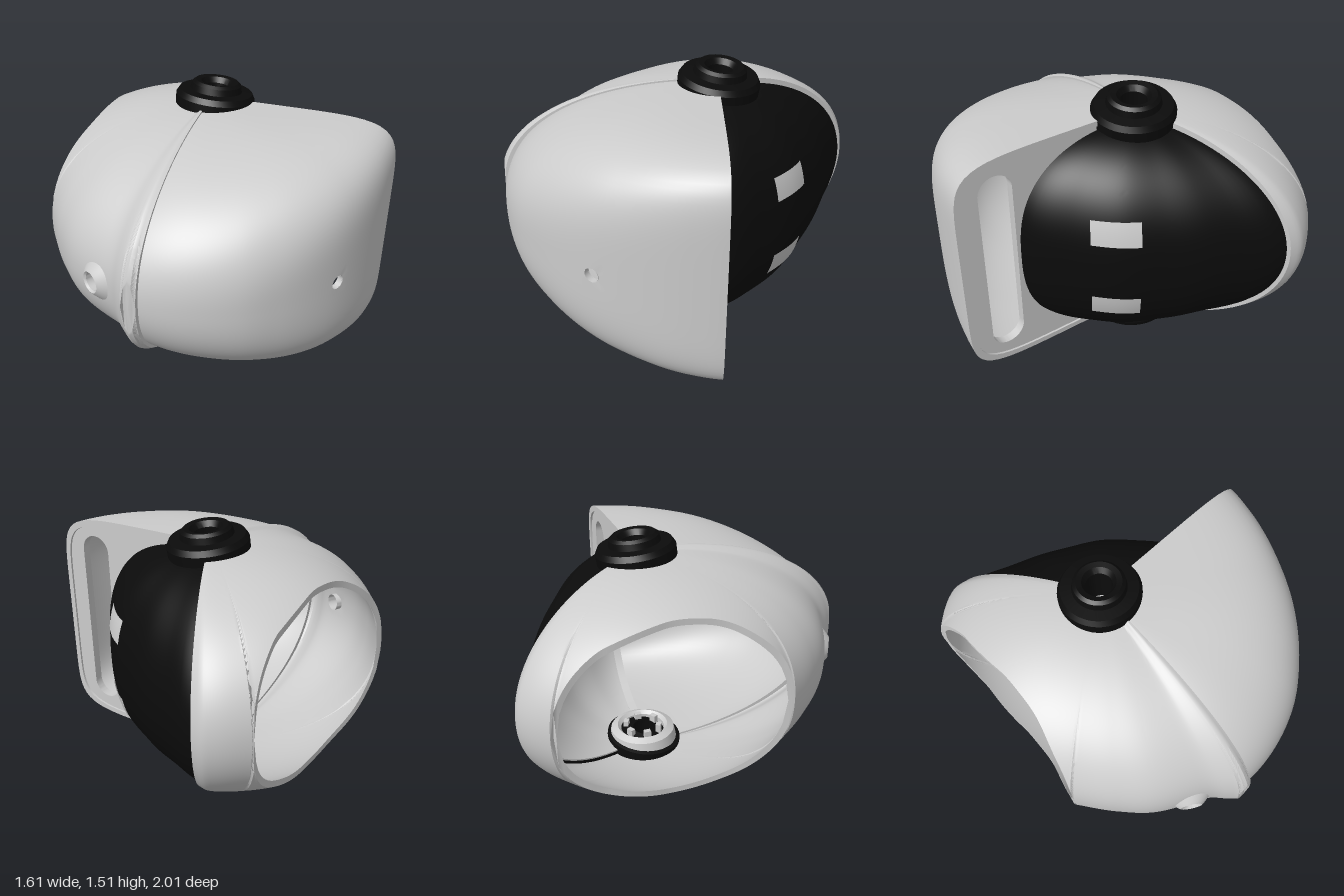
import * as THREE from 'three';
import { mergeVertices, toCreasedNormals } from 'three/addons/utils/BufferGeometryUtils.js';

// The helmet lies on its side: y runs ear to ear, all shells sweep around the ear axis.
const MID = 0.755, PX = 0.26, PZ = -0.08, EAR = 0.13;
const rad = THREE.MathUtils.degToRad;
const grey = new THREE.MeshStandardMaterial({ color: 0xcccccc, side: THREE.DoubleSide });
const black = new THREE.MeshStandardMaterial({ color: 0x0b0b0b, side: THREE.DoubleSide });

// Smooth interpolation through [angle, value] pairs
function table(pts) {
  const slope = (i) => {
    const a = pts[Math.max(i - 1, 0)], b = pts[Math.min(i + 1, pts.length - 1)];
    return (b[1] - a[1]) / (b[0] - a[0]);
  };
  return (x) => {
    let i = 0;
    while (i < pts.length - 2 && x > pts[i + 1][0]) i++;
    const [x0, y0] = pts[i], [x1, y1] = pts[i + 1], w = x1 - x0;
    const t = THREE.MathUtils.clamp((x - x0) / w, 0, 1), t2 = t * t, t3 = t2 * t;
    return (2 * t3 - 3 * t2 + 1) * y0 + (t3 - 2 * t2 + t) * w * slope(i)
      + (3 * t2 - 2 * t3) * y1 + (t3 - t2) * w * slope(i + 1);
  };
}

// Reach R, half width H and squareness p of each shell by angle in degrees
const dome = {
  from: 58.5, to: 150.5, steps: 90,
  R: table([[58, 1.037], [68, 1.036], [82, 1.05], [98, 1.09], [114, 1.137], [124, 1.165], [137, 1.175], [151, 1.17]]),
  H: table([[58, 0.645], [151, 0.645]]),
  p: table([[58, 8], [75, 6], [90, 4.5], [120, 2.8], [151, 2.15]]),
};
const lower = {
  from: 149, to: 301, steps: 150,
  R: table([[149, 1.2], [151, 1.225], [154, 1.18], [158, 1.115], [163, 1.085], [176, 1.05], [187, 1.007],
    [201, 0.975], [240, 0.99], [283, 0.955], [297, 0.944], [301, 0.9]]),
  H: table([[149, 0.655], [152, 0.655], [158, 0.64], [301, 0.635]]),
  p: table([[149, 2.15], [240, 2.3], [301, 2]]),
  cut: table([[195, 1.2], [201, 0.975], [207, 0.852], [218, 0.712], [231, 0.65], [246, 0.645],
    [269, 0.74], [277.6, 0.832], [283.4, 0.946], [288, 1.1]]),
};
const visor = {
  from: -59.5, to: 59.5, steps: 50,
  R: table([[-59, 0.885], [-46, 0.72], [-31, 0.62], [-12.5, 0.553], [8.4, 0.546], [34.5, 0.58], [57.5, 0.69], [60, 0.7]]),
  H: table([[-60, 0.605], [60, 0.605]]),
  p: table([[-59, 2], [0, 2.3], [60, 2.6]]),
};

// Point on a unit superellipse in direction a, and the direction at which it reaches u
const superPoint = (a, p) => {
  const c = Math.cos(a), s = Math.sin(a), k = (c ** p + Math.abs(s) ** p) ** (-1 / p);
  return [c * k, s * k];
};
const directionAt = (u, p) => (u >= 1 ? 0 : Math.atan2((1 - u ** p) ** (1 / p), u));

// Thick shell: a cross-section loop (outside, then inside) per angle, mirrored across the middle
function shell(name, s, inset, thick, material, hole) {
  const n = 44, loop = 2 * n, pts = [], tris = [];
  for (let i = 0; i <= s.steps; i++) {
    const deg = s.from + (s.to - s.from) * i / s.steps, th = rad(deg), p = s.p(deg);
    for (let j = 0; j < loop; j++) {
      const inner = j >= n, d = inset + (inner ? thick : 0);
      const R = s.R(deg) - d, H = s.H(deg) - d;
      const a0 = s.cut ? directionAt(s.cut(deg) / R, p) : 0, a1 = directionAt(EAR / R, p);
      const t = (inner ? loop - 1 - j : j) / (n - 1);
      const [u, v] = superPoint(a1 + (a0 - a1) * t, p);
      pts.push(new THREE.Vector3(PX + Math.cos(th) * R * u, H * v, PZ + Math.sin(th) * R * u));
    }
  }
  // Drop cells touching the round hole and pull their outer corners onto its edge
  const gap = (q) => Math.hypot(q[hole.axis] - hole.at, q.y);
  const inside = pts.map((q) => !!hole && gap(q) < hole.r), pull = new Set();
  const quad = (a, b, c, d) => {
    const cell = [a, b, c, d];
    if (cell.some((k) => inside[k])) cell.forEach((k) => inside[k] || pull.add(k));
    else tris.push(a, b, c, a, c, d);
  };
  for (let i = 0; i < s.steps; i++)
    for (let j = 0; j < loop; j++) {
      const k = (j + 1) % loop, o = i * loop, q = o + loop;
      quad(o + j, q + j, q + k, o + k);
    }
  const e = s.steps * loop;
  for (let j = 0; j < n - 1; j++) {
    const k = loop - 1 - j;
    quad(j, j + 1, k - 1, k);
    quad(e + k, e + k - 1, e + j + 1, e + j);
  }
  pull.forEach((k) => {
    const q = pts[k], f = hole.r / gap(q);
    q[hole.axis] = hole.at + (q[hole.axis] - hole.at) * f;
    q.y *= f;
  });
  const pos = [], index = [...tris];
  for (const m of [1, -1]) pts.forEach((q) => pos.push(q.x, MID + m * q.y, q.z));
  for (let k = 0; k < tris.length; k += 3)
    index.push(tris[k] + pts.length, tris[k + 2] + pts.length, tris[k + 1] + pts.length);
  const geo = new THREE.BufferGeometry();
  geo.setAttribute('position', new THREE.Float32BufferAttribute(pos, 3));
  geo.setIndex(index);
  return mesh(name, toCreasedNormals(mergeVertices(geo, 1e-5), 0.6), material);
}

function mesh(name, geo, material) {
  const m = new THREE.Mesh(geo, material);
  m.name = name;
  return m;
}

const lathe = (name, pts, material, seg = 48) => mesh(name, toCreasedNormals(
  new THREE.LatheGeometry(pts.map(([x, y]) => new THREE.Vector2(x, y)), seg), 0.5), material);

// Flat plate closing the dome edge around the visor, with a long slot
function browPlate() {
  const shape = new THREE.Shape(), outline = [], N = 60;
  const add = (R, H, p, dir) => {
    const a = directionAt(0.2 / R, p);
    for (let i = 0; i <= N; i++) {
      const [u, v] = superPoint(dir * a * (2 * i / N - 1), p);
      outline.push(new THREE.Vector2(R * u, H * v));
    }
  };
  add(1.015, 0.625, 8, 1);
  add(0.685, 0.595, 2.6, -1);
  shape.setFromPoints(outline);
  const slot = new THREE.Path(), c = 0.81, r = 0.093, h = 0.44;
  slot.absarc(c, h, r, 0, Math.PI, false);
  slot.absarc(c, -h, r, Math.PI, 2 * Math.PI, false);
  shape.holes.push(slot);
  const geo = new THREE.ExtrudeGeometry(shape, { depth: 0.05, bevelEnabled: false, curveSegments: 16 });
  const plate = mesh('browPlate', toCreasedNormals(geo, 0.5), grey);
  plate.rotation.y = -rad(58.5);
  plate.position.set(PX - 0.01, MID, PZ + 0.006);
  return plate;
}

// Light patch lying on the visor: each vertex is moved out to the visor surface
function visorPatch(side) {
  const geo = new THREE.PlaneGeometry(0.25, 0.13, 8, 5).rotateY(Math.PI / 2);
  geo.translate(0, side * 0.23, 0.045);
  const pos = geo.attributes.position;
  for (let i = 0; i < pos.count; i++) {
    const y = pos.getY(i), z = pos.getZ(i);
    let lo = 0, hi = 0.8;
    for (let k = 0; k < 24; k++) {
      const x = (lo + hi) / 2, deg = THREE.MathUtils.radToDeg(Math.atan2(z - PZ, x)), p = visor.p(deg);
      const f = (Math.hypot(x, z - PZ) / visor.R(deg)) ** p + (Math.abs(y) / visor.H(deg)) ** p;
      if (f < 1) lo = x; else hi = x;
    }
    pos.setXYZ(i, PX + lo + 0.006, MID + y, z);
  }
  geo.computeVertexNormals();
  return mesh('visorPatch', geo, grey);
}

// Ear pivot: tilted stepped black disc outside, ring with lugs inside
function earPivot(side) {
  const ear = new THREE.Group();
  ear.name = side > 0 ? 'upperEarPivot' : 'lowerEarPivot';
  const disc = lathe('earDisc', [[0.07, -0.1], [0.22, -0.06], [0.222, 0.05], [0.205, 0.08], [0.145, 0.085],
    [0.138, 0.12], [0.12, 0.135], [0.09, 0.13], [0.07, 0.1], [0.07, -0.1]], black);
  disc.position.y = 0.605;
  disc.rotation.z = -0.13;
  const ring = lathe('innerEarRing', [[0.13, 0.6], [0.13, 0.5], [0.15, 0.48], [0.19, 0.5], [0.21, 0.6]], grey);
  ear.add(disc, ring);
  for (let i = 0; i < 6; i++) {
    const lug = mesh('innerLug', new THREE.BoxGeometry(0.03, 0.06, 0.04), grey), a = i * Math.PI / 3;
    lug.position.set(Math.cos(a) * 0.1, 0.5, Math.sin(a) * 0.1);
    lug.rotation.y = -a;
    ear.add(lug);
  }
  ear.position.set(PX, MID, PZ);
  ear.scale.y = side;
  return ear;
}

export function createModel() {
  const model = new THREE.Group();
  model.name = 'helmet';
  model.add(
    shell('domeShell', dome, 0, 0.03, grey, { axis: 'x', at: 0.17, r: 0.04 }),
    shell('lowerShell', lower, 0, 0.03, grey, { axis: 'z', at: 0.2, r: 0.055 }),
    shell('visor', visor, 0, 0.018, black),
    shell('visorLining', visor, 0.02, 0.008, grey),
    browPlate(),
  );
  for (const side of [1, -1]) model.add(visorPatch(side), earPivot(side));

  // Raised collar around the rear port and the wall of the front hole
  const port = lathe('portCollar', [[0.05, -0.06], [0.05, 0.015], [0.06, 0.025], [0.075, 0.015], [0.12, -0.025]], grey, 32);
  port.rotation.z = Math.PI / 2;
  port.position.set(-0.785, MID, 0.2);
  const wall = mesh('frontHoleWall', new THREE.CylinderGeometry(0.04, 0.04, 0.034, 24, 1, true), grey);
  wall.rotation.x = Math.PI / 2;
  wall.position.set(0.17, MID, 0.98);
  model.add(port, wall);
  return model;
}
